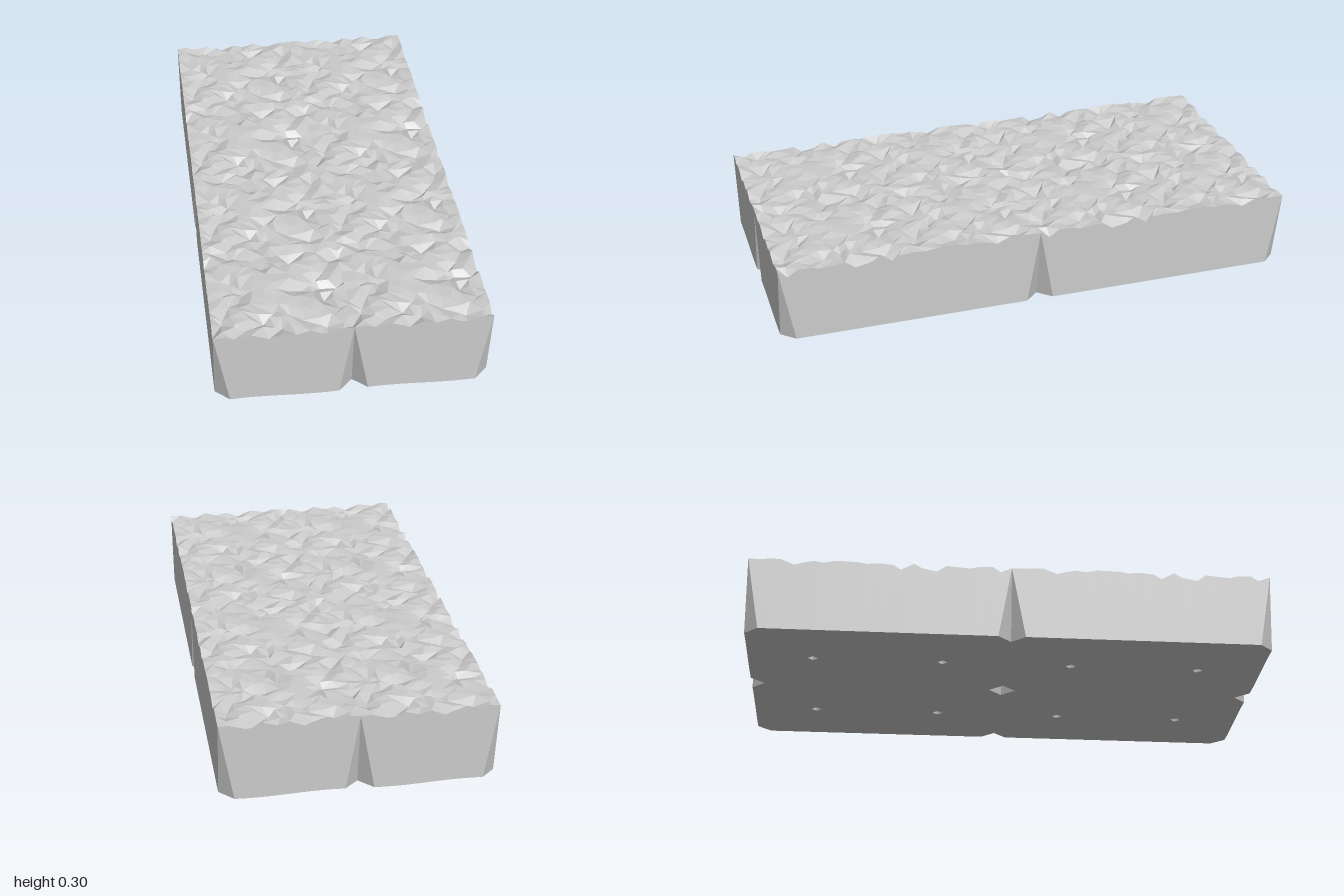
import * as THREE from 'three';

const T = 0.25;      // tile size
const COLS = 4, ROWS = 8;
const N = 6;         // top facets per tile side

// Repeatable value in 0..1 for a lattice position
function hash(a, b, c) {
  const s = Math.sin(a * 127.1 + b * 311.7 + c * 74.7) * 43758.5453;
  return s - Math.floor(s);
}

// Height of the rough top: mostly high, with some chipped hollows
const rough = h => 0.299 - 0.032 * h * h;

// Size of the chamfer at the foot of a tile corner
function cornerCut(I, J) {
  if (I % 2 === 0 && J % 4 === 0) return 0.052;
  return I % 2 && J % 2 ? 0.02 : 0;
}

// Top vertex (a, b) of tile (i, j). Interiors pinwheel from tile to tile, borders are shared.
function topPoint(i, j, a, b) {
  const x0 = -0.5 + i * T, z0 = -1 + j * T, step = T / N;
  const edgeA = a === 0 || a === N, edgeB = b === 0 || b === N;
  if (edgeA || edgeB) {
    const ga = (i * N + a) % (2 * N), gb = (j * N + b) % (4 * N);
    const corner = edgeA && edgeB;
    const dx = edgeA ? 0 : (hash(ga, gb, 1) - 0.5) * 0.6;
    const dz = edgeB ? 0 : (hash(ga, gb, 2) - 0.5) * 0.6;
    const y = corner ? 0.295 : rough(hash(ga, gb, 3));
    return new THREE.Vector3(x0 + (a + dx) * step, y, z0 + (b + dz) * step);
  }
  const turn = [[0, 1], [3, 2]][j % 2][i % 2];
  let p = a - N / 2, q = b - N / 2;
  for (let k = 0; k < turn; k++) [p, q] = [q, -p];
  let dx = (hash(p, q, 4) - 0.5) * 0.95, dz = (hash(p, q, 5) - 0.5) * 0.95;
  for (let k = 0; k < turn; k++) [dx, dz] = [-dz, dx];
  return new THREE.Vector3(x0 + (a + dx) * step, rough(hash(p, q, 6)), z0 + (b + dz) * step);
}

function geometryFrom(points) {
  const g = new THREE.BufferGeometry().setFromPoints(points);
  g.computeVertexNormals();
  return g;
}

// Jagged faceted top of one tile
function topGeometry(i, j) {
  const tris = [];
  for (let a = 0; a < N; a++) for (let b = 0; b < N; b++) {
    const A = topPoint(i, j, a, b), B = topPoint(i, j, a + 1, b);
    const C = topPoint(i, j, a + 1, b + 1), D = topPoint(i, j, a, b + 1);
    if (hash(a, b, 7 + (i + j) % 2) > 0.5) tris.push(A, D, C, A, C, B);
    else tris.push(A, D, B, D, C, B);
  }
  return geometryFrom(tris);
}

// Walls and underside of one tile, with the foot corners chamfered
function bodyGeometry(i, j) {
  const x0 = -0.5 + i * T, z0 = -1 + j * T;
  const ring = [];
  const corners = [[0, 0], [0, 1], [1, 1], [1, 0]];
  corners.forEach(([u, v], k) => {
    const [u2, v2] = corners[(k + 1) % 4];
    const cut1 = cornerCut(i + u, j + v) / T, cut2 = cornerCut(i + u2, j + v2) / T;
    for (let s = 0; s <= N; s++) {
      const t = s / N, f = THREE.MathUtils.clamp(t, cut1, 1 - cut2);
      const top = topPoint(i, j, Math.round((u + (u2 - u) * t) * N), Math.round((v + (v2 - v) * t) * N));
      const bx = x0 + (u + (u2 - u) * f) * T, bz = z0 + (v + (v2 - v) * f) * T;
      const by = 0.005 + 0.004 * Math.sin(bx * 4 * Math.PI) * Math.cos(bz * 4 * Math.PI);
      ring.push({ top, foot: new THREE.Vector3(bx, by, bz) });
    }
  });
  const centre = new THREE.Vector3(x0 + T / 2, 0, z0 + T / 2);
  const tris = [];
  ring.forEach((p, k) => {
    const q = ring[(k + 1) % ring.length];
    tris.push(p.foot, q.foot, q.top, p.foot, q.top, p.top);
    tris.push(centre, q.foot, p.foot);
  });
  return geometryFrom(tris);
}

export function createModel() {
  const group = new THREE.Group();
  group.name = 'rockySlab';
  const material = new THREE.MeshStandardMaterial({ color: 0xcccccc, flatShading: true, side: THREE.DoubleSide });
  for (let i = 0; i < COLS; i++) for (let j = 0; j < ROWS; j++) {
    const tile = new THREE.Group();
    tile.name = 'tile';
    const top = new THREE.Mesh(topGeometry(i, j), material);
    top.name = 'roughTop';
    const body = new THREE.Mesh(bodyGeometry(i, j), material);
    body.name = 'tileBody';
    tile.add(top, body);
    group.add(tile);
  }
  return group;
}
